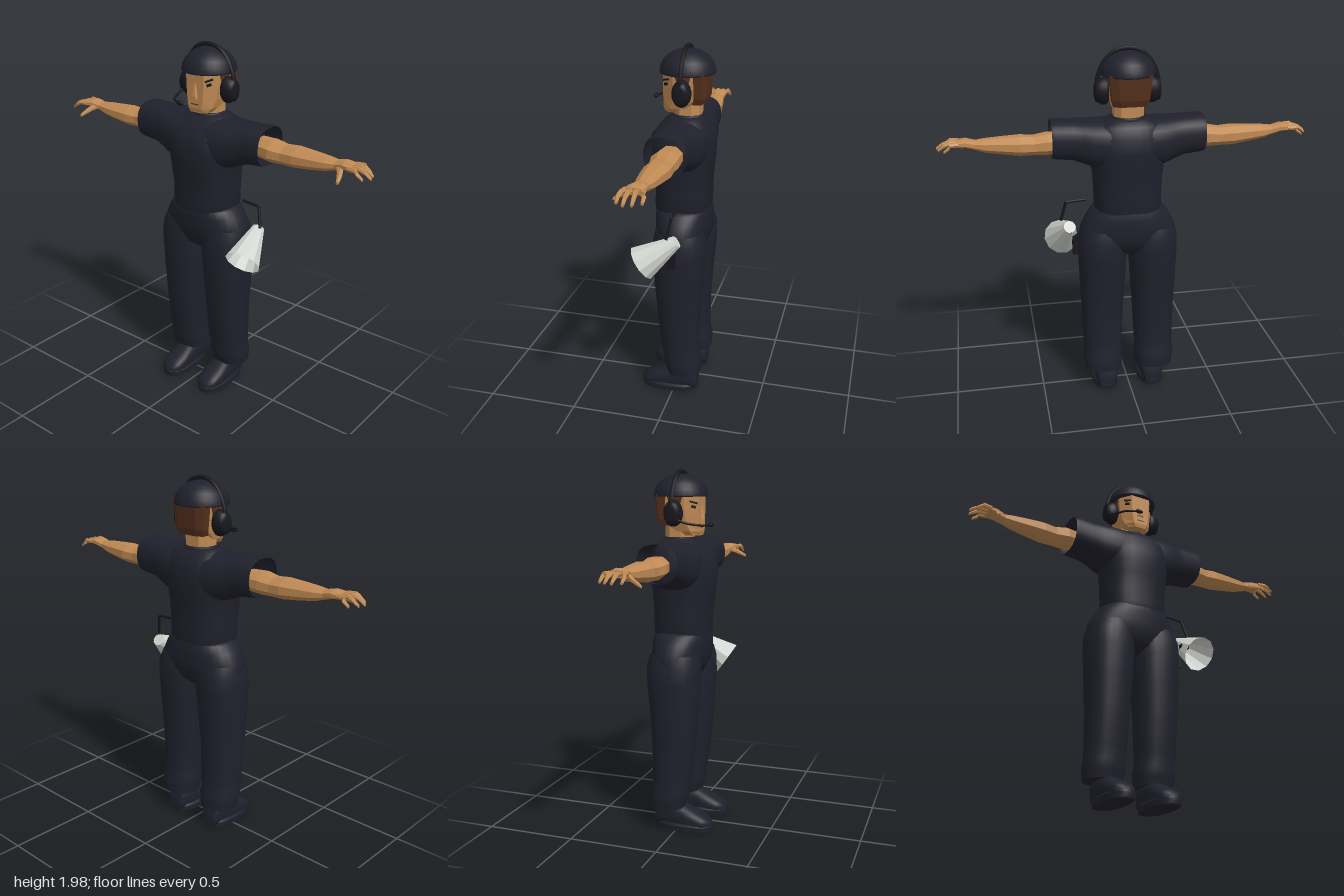
import * as THREE from 'three';
import { toCreasedNormals } from 'three/addons/utils/BufferGeometryUtils.js';

const V = (x, y, z) => new THREE.Vector3(x, y, z);
const mat = (name, color, side = THREE.FrontSide) =>
  Object.assign(new THREE.MeshStandardMaterial({ color, side }), { name });

// Superellipse outline of n unit points
function oval(n, e = 2) {
  return Array.from({ length: n }, (_, i) => {
    const t = ((i + 0.5) / n) * Math.PI * 2, c = Math.cos(t), s = Math.sin(t);
    return [Math.sign(c) * Math.abs(c) ** (2 / e), Math.sign(s) * Math.abs(s) ** (2 / e)];
  });
}

// Skin over rows of points; winding is turned outward by signed volume
function skinRows(rows, crease, capped = true) {
  const n = rows[0].length, pts = rows.flat(), idx = [];
  for (let r = 0; r < rows.length - 1; r++)
    for (let i = 0; i < n; i++) {
      const a = r * n + i, b = r * n + ((i + 1) % n);
      idx.push(a, b, a + n, b, b + n, a + n);
    }
  if (capped)
    for (const r of [0, rows.length - 1]) {
      const c = pts.length;
      pts.push(rows[r].reduce((m, p) => m.add(p), V(0, 0, 0)).divideScalar(n));
      for (let i = 0; i < n; i++) {
        const a = r * n + i, b = r * n + ((i + 1) % n);
        if (r === 0) idx.push(b, a, c); else idx.push(a, b, c);
      }
    }
  const mid = pts.reduce((m, p) => m.add(p), V(0, 0, 0)).divideScalar(pts.length);
  let vol = 0;
  for (let i = 0; i < idx.length; i += 3) {
    const [a, b, c] = [0, 1, 2].map((k) => pts[idx[i + k]].clone().sub(mid));
    vol += a.dot(b.cross(c));
  }
  if (vol < 0) idx.reverse();
  const g = new THREE.BufferGeometry().setFromPoints(pts);
  g.setIndex(idx);
  return toCreasedNormals(g, crease);
}

// Loft along an axis; each section is [t, centreA, centreB, radiusA, radiusB]
const place = {
  y: (t, a, b) => V(a, t, b),
  x: (t, a, b) => V(t, a, b),
  z: (t, a, b) => V(a, b, t),
};
function loft(axis, sections, outline, crease = 0.9, capped = true) {
  const rows = sections.map(([t, ca, cb, ra, rb]) =>
    outline.map(([a, b]) => place[axis](t, ca + a * ra, cb + b * rb)));
  return skinRows(rows, crease, capped);
}

export function createModel() {
  const model = new THREE.Group();
  const cloth = mat('navyCloth', 0x20202c, THREE.DoubleSide);
  const skin = mat('skin', 0xc08a54);
  const hair = mat('brownHair', 0x55301d);
  const black = mat('blackPlastic', 0x17171d);
  const grey = mat('paleGrey', 0xd2d5d0, THREE.DoubleSide);
  const FLAT = 0.05;
  const add = (name, geo, m, parent = model) => {
    const o = new THREE.Mesh(geo, m);
    o.name = name;
    parent.add(o);
    return o;
  };
  const tube = (pts, r, sides = 8, seg = 24) =>
    new THREE.TubeGeometry(new THREE.CatmullRomCurve3(pts), seg, r, sides);
  const round = oval(28), boxy = oval(28, 2.5);

  // Shirt body, sleeves and collar
  add('shirtBody', loft('y', [
    [1.09, 0, -0.018, 0.176, 0.148], [1.12, 0, -0.018, 0.184, 0.152], [1.2, 0, -0.02, 0.185, 0.15],
    [1.3, 0, -0.015, 0.19, 0.16], [1.37, 0, -0.015, 0.198, 0.168], [1.44, 0, -0.016, 0.21, 0.17],
    [1.52, 0, -0.022, 0.21, 0.16], [1.58, 0, -0.032, 0.18, 0.125], [1.615, 0, -0.04, 0.11, 0.085],
  ], boxy), cloth);
  const sleeve = [
    [0.41, 1.507, -0.02, 0.1, 0.11], [0.39, 1.507, -0.02, 0.104, 0.113], [0.3, 1.5, -0.02, 0.107, 0.112],
    [0.24, 1.488, -0.02, 0.117, 0.125], [0.19, 1.478, -0.02, 0.127, 0.142], [0.1, 1.475, -0.022, 0.13, 0.15],
  ];
  add('sleeves', loft('x', [
    ...sleeve, ...sleeve.map(([x, ...rest]) => [-x, ...rest]).reverse(),
  ], boxy, 0.9, false), cloth);
  const collar = add('collar', new THREE.TorusGeometry(0.082, 0.012, 8, 28), cloth);
  collar.rotation.x = Math.PI / 2;
  collar.position.set(0, 1.612, -0.04);

  // Trousers: hips, then legs and shoes
  add('hips', loft('y', [
    [0.84, 0, -0.03, 0.1, 0.06], [0.88, 0, -0.028, 0.22, 0.115], [0.94, 0, -0.027, 0.272, 0.142],
    [1.0, 0, -0.025, 0.264, 0.15], [1.06, 0, -0.022, 0.232, 0.152], [1.1, 0, -0.02, 0.202, 0.15],
    [1.115, 0, -0.02, 0.18, 0.145],
  ], oval(32, 2.2)), cloth);
  for (const s of [1, -1]) {
    const side = s > 0 ? 'left' : 'right';
    add(side + 'Leg', loft('y', [
      [0.13, s * 0.15, -0.057, 0.105, 0.095], [0.17, s * 0.15, -0.052, 0.109, 0.1],
      [0.2, s * 0.15, -0.048, 0.115, 0.105], [0.23, s * 0.15, -0.044, 0.109, 0.1],
      [0.3, s * 0.149, -0.035, 0.111, 0.105], [0.5, s * 0.147, -0.025, 0.118, 0.118],
      [0.7, s * 0.144, -0.024, 0.129, 0.134], [0.85, s * 0.142, -0.026, 0.136, 0.146],
      [0.94, s * 0.14, -0.027, 0.136, 0.145], [1.0, s * 0.13, -0.025, 0.125, 0.13],
    ], oval(24, 2.3)), cloth);
    add(side + 'Shoe', loft('z', [
      [-0.13, s * 0.135, 0.055, 0.045, 0.045], [-0.11, s * 0.135, 0.08, 0.06, 0.075],
      [-0.02, s * 0.135, 0.08, 0.064, 0.08], [0.04, s * 0.135, 0.07, 0.068, 0.067],
      [0.1, s * 0.135, 0.056, 0.071, 0.053], [0.15, s * 0.135, 0.045, 0.062, 0.04],
      [0.18, s * 0.135, 0.036, 0.042, 0.028], [0.19, s * 0.135, 0.03, 0.02, 0.014],
    ], boxy), cloth);
    add(side + 'Sole', loft('y', [
      [0, s * 0.135, 0.032, 0.074, 0.16], [0.03, s * 0.135, 0.032, 0.077, 0.164], [0.042, s * 0.135, 0.032, 0.07, 0.158],
    ], boxy, 0.6), cloth);

    // Bare arm with palm, fingers and thumb
    add(side + 'Arm', loft('x', [
      [0.34, 1.49, -0.035, 0.055, 0.065], [0.43, 1.487, -0.028, 0.06, 0.076], [0.5, 1.482, -0.03, 0.052, 0.066],
      [0.57, 1.485, -0.03, 0.055, 0.072], [0.66, 1.488, -0.027, 0.047, 0.062], [0.75, 1.492, -0.026, 0.037, 0.05],
      [0.8, 1.497, -0.025, 0.026, 0.038], [0.85, 1.51, -0.022, 0.024, 0.048], [0.9, 1.508, -0.016, 0.018, 0.054],
    ].map(([x, ...rest]) => [s * x, ...rest]), oval(8), FLAT), skin);
    [0.96, 0.99, 1, 0.975].forEach((tip, i) => {
      const z = -0.058 + i * 0.028, dz = (i - 1.5) * 0.005;
      add(side + 'Finger', loft('x', [
        [0.885, 1.51, z, 0.013, 0.013], [0.93, 1.511, z + dz, 0.013, 0.012],
        [0.968 * tip, 1.5, z + dz * 2, 0.011, 0.011], [tip, 1.478, z + dz * 2, 0.008, 0.008],
      ].map(([x, ...rest]) => [s * x, ...rest]), oval(6), FLAT), skin);
    });
    add(side + 'Thumb', loft('z', [
      [0, s * 0.825, 1.5, 0.022, 0.018], [0.035, s * 0.85, 1.482, 0.018, 0.015],
      [0.065, s * 0.862, 1.466, 0.013, 0.012], [0.09, s * 0.87, 1.452, 0.008, 0.008],
    ], oval(6), FLAT), skin);

    // Eyes and brows on the angled cheeks
    for (const [name, y, h, w] of [['Eye', 1.785, 0.014, 0.026], ['Brow', 1.808, 0.01, 0.045]]) {
      const p = add(side + name, new THREE.BoxGeometry(w, h, 0.006), black);
      p.position.set(s * 0.0755, y, 0.062);
      p.rotation.set(0, s * 0.95, s * 0.25, 'YXZ');
    }

    // Headset ear cup
    const cup = add(side + 'EarCup', new THREE.LatheGeometry([
      [0, -0.035], [0.85, -0.035], [1, -0.022], [1, 0], [0.86, 0.012], [0.8, 0.03], [0.5, 0.036], [0, 0.036],
    ].map(([r, y]) => new THREE.Vector2(r * 0.07, y)), 24), black);
    cup.scale.z = 0.72;
    cup.rotation.z = -s * Math.PI / 2;
    cup.position.set(s * 0.14, 1.752, -0.033);
  }

  // Faceted head, neck, nose and hair
  const half = [[0.55, 1], [1, 0.45], [1, -0.5], [0.6, -1]];
  const octagon = [...half, ...half.map(([a, b]) => [-a, b]).reverse()];
  add('neck', loft('y', [
    [1.56, 0, -0.045, 0.085, 0.075], [1.62, 0, -0.04, 0.078, 0.07], [1.7, 0, -0.04, 0.078, 0.07],
  ], octagon, FLAT), skin);
  add('head', loft('y', [
    [1.632, 0, 0.03, 0.06, 0.05], [1.655, 0, 0.008, 0.078, 0.077], [1.7, 0, -0.024, 0.092, 0.108],
    [1.77, 0, -0.034, 0.103, 0.118], [1.86, 0, -0.035, 0.106, 0.12],
  ], octagon, FLAT), skin);
  add('nose', loft('y', [
    [1.705, 0, 0.078, 0.02, 0.018], [1.72, 0, 0.08, 0.018, 0.017], [1.79, 0, 0.078, 0.01, 0.008],
  ], octagon, FLAT), skin);
  add('mouth', new THREE.BoxGeometry(0.05, 0.005, 0.006), hair).position.set(0, 1.677, 0.083);
  add('backHair', loft('y', [
    [1.685, 0, -0.1, 0.088, 0.038], [1.72, 0, -0.11, 0.1, 0.04], [1.85, 0, -0.112, 0.112, 0.05],
  ], octagon, FLAT), hair);
  add('sideHair', loft('y', [
    [1.77, 0, -0.035, 0.107, 0.04], [1.85, 0, -0.03, 0.111, 0.09],
  ], octagon, FLAT), hair);

  // Domed cap with closed underside
  const cap = add('cap', new THREE.LatheGeometry([
    [0, 0], [0.99, 0], [1, 0.06], [0.96, 0.3], [0.86, 0.53], [0.7, 0.73], [0.48, 0.89], [0.25, 0.975], [0, 1],
  ].map(([r, y]) => new THREE.Vector2(r, y)), 28), cloth);
  cap.scale.set(0.146, 0.122, 0.148);
  cap.position.set(0, 1.838, -0.035);

  // Headset band and microphone
  add('headband', tube([-1, -0.95, -0.72, -0.4, 0, 0.4, 0.72, 0.95, 1].map((u, i) =>
    V(u * 0.165, [1.77, 1.83, 1.91, 1.957, 1.972, 1.957, 1.91, 1.83, 1.77][i], -0.033)), 0.012, 8, 48), black);
  add('microphoneBoom', tube([V(-0.155, 1.72, -0.01), V(-0.145, 1.7, 0.05), V(-0.11, 1.69, 0.12), V(-0.045, 1.69, 0.15)], 0.006), black);
  const mic = add('microphone', new THREE.SphereGeometry(0.012, 12, 8), black);
  mic.scale.x = 2;
  mic.position.set(-0.045, 1.69, 0.15);

  // Loudhailer on the left hip: open cone, back disc, handle and belt box
  const back = V(0.325, 1.015, -0.058), bell = V(0.355, 0.885, 0.125);
  const dir = bell.clone().sub(back), length = dir.length();
  const horn = new THREE.Group();
  horn.name = 'loudhailer';
  horn.position.copy(back).add(bell).multiplyScalar(0.5);
  horn.quaternion.setFromUnitVectors(V(0, 1, 0), dir.normalize());
  model.add(horn);
  add('hornCone', toCreasedNormals(new THREE.CylinderGeometry(0.098, 0.034, length, 11, 1, true), FLAT), grey, horn);
  const disc = add('hornBack', new THREE.CircleGeometry(0.034, 11), grey, horn);
  disc.rotation.x = Math.PI / 2;
  disc.position.y = -length / 2;
  const handle = [V(0.235, 1.16, -0.035), V(0.34, 1.152, -0.035), V(0.368, 1.04, -0.012)];
  for (let i = 0; i < 2; i++)
    add('hornHandle', new THREE.TubeGeometry(new THREE.LineCurve3(handle[i], handle[i + 1]), 1, 0.008, 8), black);
  add('handleJoint', new THREE.SphereGeometry(0.009, 10, 8), black).position.copy(handle[1]);
  add('beltBox', new THREE.BoxGeometry(0.045, 0.11, 0.04), black).position.set(0.285, 0.895, -0.02);
  add('hornTrigger', new THREE.BoxGeometry(0.05, 0.02, 0.03), black).position.set(0.295, 0.94, 0.06);

  return model;
}
